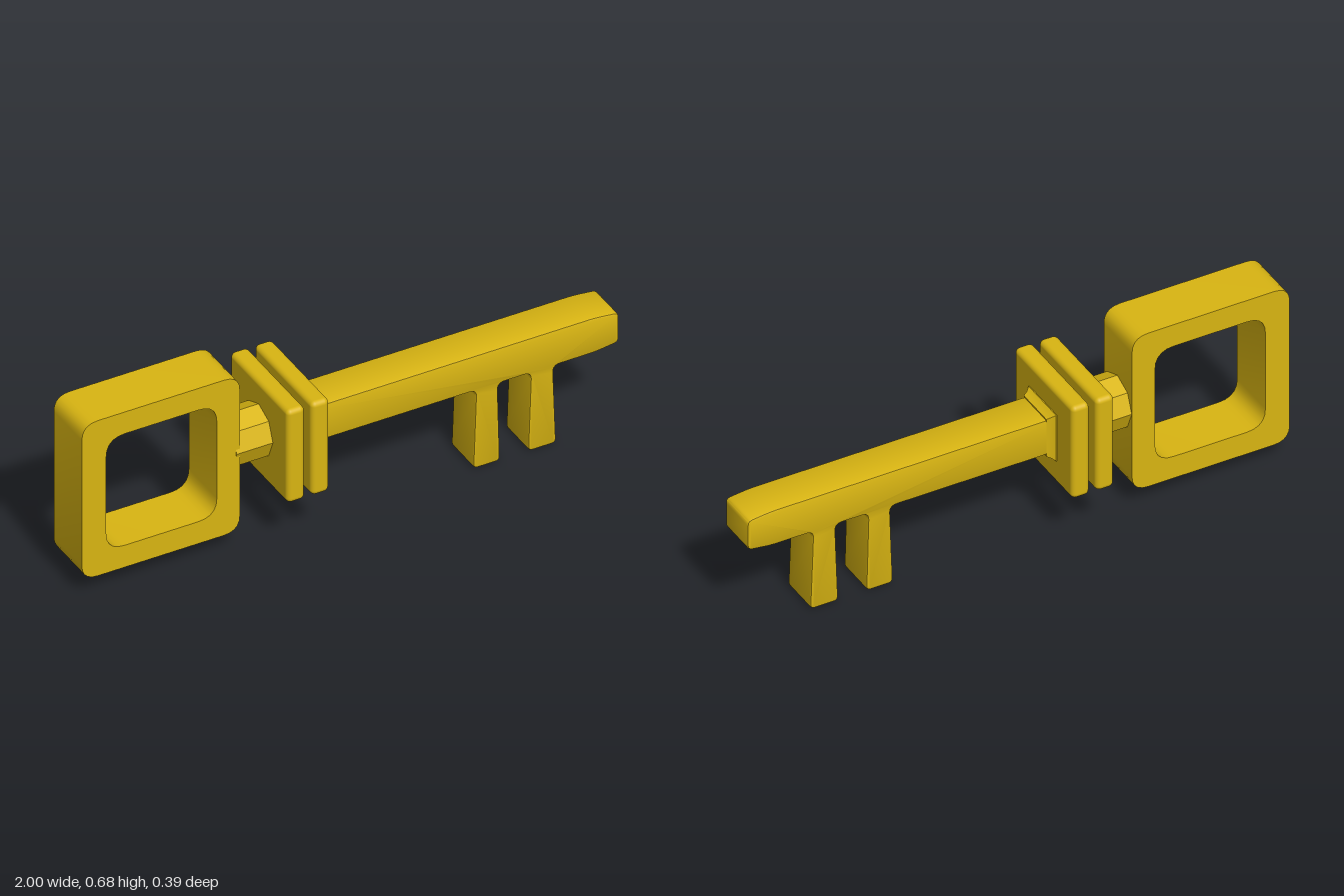
import * as THREE from 'three';
import { RoundedBoxGeometry } from 'three/addons/geometries/RoundedBoxGeometry.js';
import { toCreasedNormals } from 'three/addons/utils/BufferGeometryUtils.js';

const AXIS_Y = 0.378; // height of the key's long axis

// Traces a closed outline of [x, y, cornerRadius] with rounded corners
function roundedOutline(path, corners) {
  const n = corners.length;
  corners.forEach(([x, y, r], i) => {
    const p = new THREE.Vector2(x, y);
    const toward = (c) => new THREE.Vector2(c[0], c[1]).sub(p).setLength(r).add(p);
    const a = toward(corners[(i + n - 1) % n]);
    const b = toward(corners[(i + 1) % n]);
    if (i === 0) path.moveTo(a.x, a.y);
    else path.lineTo(a.x, a.y);
    path.quadraticCurveTo(x, y, b.x, b.y);
  });
  path.closePath();
  return path;
}

const rect = (x0, x1, y0, y1, r) => [[x0, y0, r], [x1, y0, r], [x1, y1, r], [x0, y1, r]];

// Extrudes a shape between two z values, keeping the bevel inside the outline
function slab(shape, z0, z1, bevel) {
  const geometry = new THREE.ExtrudeGeometry(shape, {
    depth: z1 - z0 - 2 * bevel,
    bevelEnabled: bevel > 0,
    bevelThickness: bevel,
    bevelSize: bevel,
    bevelOffset: -bevel,
    bevelSegments: 2,
    curveSegments: 5,
  });
  geometry.translate(0, 0, z0 + bevel);
  return toCreasedNormals(geometry, 0.6);
}

export function createModel() {
  const key = new THREE.Group();
  key.name = 'key';
  const gold = new THREE.MeshStandardMaterial({ color: 0xd9b512 });
  const add = (name, geometry) => {
    const mesh = new THREE.Mesh(geometry, gold);
    mesh.name = name;
    key.add(mesh);
    return mesh;
  };

  // Square ring handle
  const ring = roundedOutline(new THREE.Shape(), rect(-1, -0.415, 0.068, 0.684, 0.06));
  ring.holes.push(roundedOutline(new THREE.Path(), rect(-0.91, -0.5, 0.155, 0.598, 0.07)));
  add('handle', slab(ring, -0.098, 0.09, 0));

  // Eight-sided neck running from the handle through the plates
  const neck = new THREE.CylinderGeometry(0.096, 0.096, 0.27, 8).rotateZ(Math.PI / 2);
  const neckMesh = add('neck', toCreasedNormals(neck, 0.3));
  neckMesh.position.set(-0.295, AXIS_Y, 0);

  // Pair of square plates
  for (const x of [-0.263, -0.173]) {
    const plate = add('plate', new RoundedBoxGeometry(0.066, 0.368, 0.39, 3, 0.018));
    plate.position.set(x, 0.377, 0);
  }

  // Flared square collar at the foot of the shaft
  const flare = [[0, 0], [0.093, 0], [0.092, 0.018], [0.082, 0.03], [0.075, 0.045], [0, 0.045]]
    .map(([r, h]) => new THREE.Vector2(r * Math.SQRT2, h));
  const collar = new THREE.LatheGeometry(flare, 4).rotateY(Math.PI / 4).rotateZ(-Math.PI / 2);
  const collarMesh = add('collar', toCreasedNormals(collar, 0.6));
  collarMesh.position.set(-0.155, AXIS_Y, 0);

  // Shaft with a tapered tip and two filleted teeth
  const shaft = roundedOutline(new THREE.Shape(), [
    [-0.16, 0.31, 0.005],
    [0.469, 0.31, 0.025], [0.458, 0.002, 0.018], [0.557, 0.002, 0.018], [0.549, 0.31, 0.025],
    [0.672, 0.31, 0.025], [0.661, 0.002, 0.018], [0.765, 0.002, 0.018], [0.754, 0.31, 0.025],
    [0.91, 0.31, 0.03], [0.997, 0.322, 0.018],
    [0.997, 0.438, 0.018], [0.91, 0.448, 0.03], [-0.16, 0.448, 0.005],
  ]);
  add('shaftAndTeeth', slab(shaft, -0.075, 0.075, 0.007));

  key.position.set(0.001, -0.002, 0);
  return key;
}
